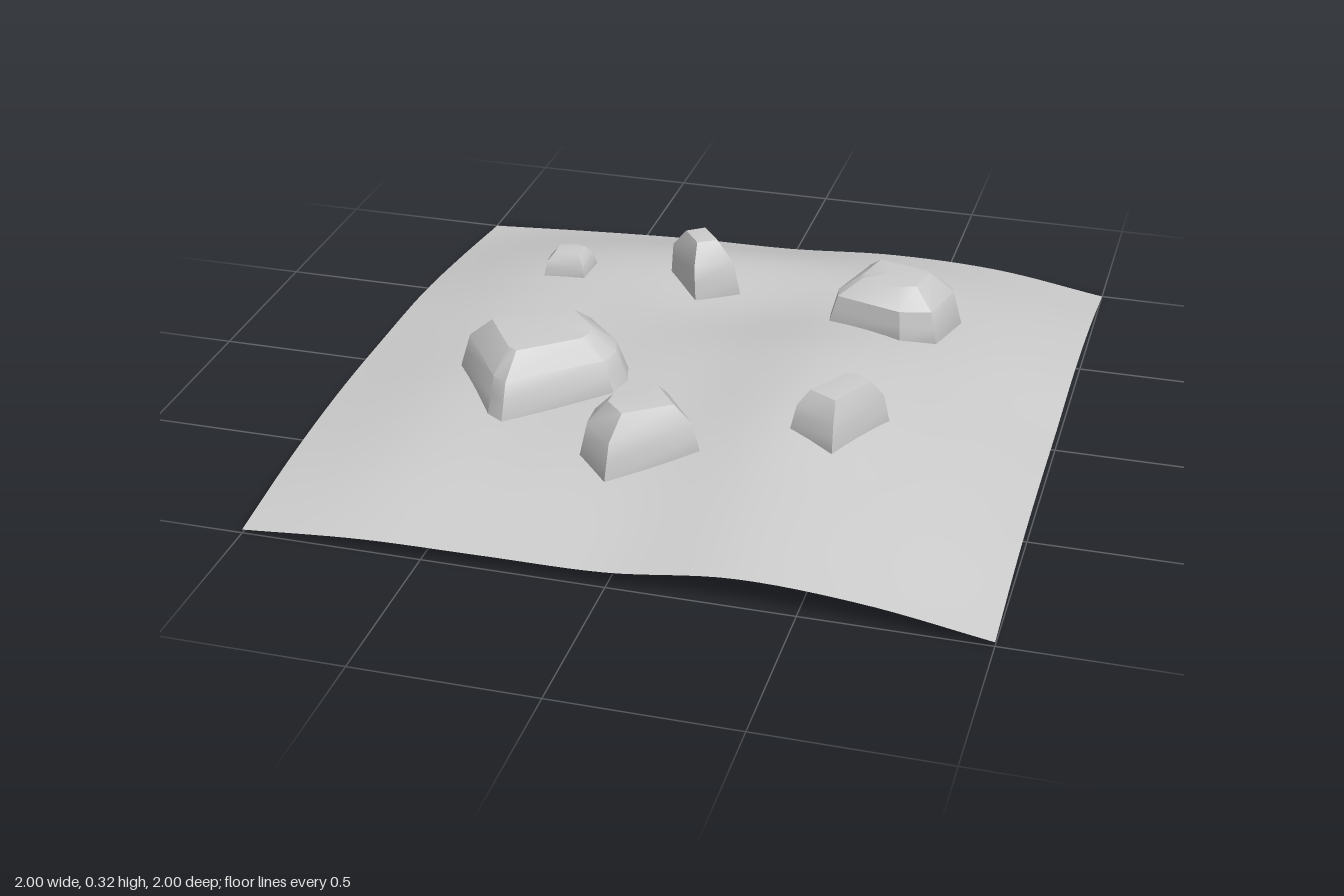
import * as THREE from 'three';
import { toCreasedNormals } from 'three/addons/utils/BufferGeometryUtils.js';

// Ground heights on a 7 x 7 net: rows run back to front, columns left to right
const HEIGHTS = [
  [0.00, 0.02, 0.035, 0.04, 0.06, 0.05, 0.00],
  [0.04, 0.105, 0.14, 0.15, 0.145, 0.11, 0.045],
  [0.07, 0.13, 0.145, 0.145, 0.17, 0.14, 0.065],
  [0.075, 0.13, 0.15, 0.18, 0.212, 0.155, 0.06],
  [0.072, 0.13, 0.14, 0.165, 0.21, 0.155, 0.062],
  [0.05, 0.10, 0.11, 0.12, 0.155, 0.125, 0.05],
  [0.01, 0.035, 0.04, 0.045, 0.083, 0.065, 0.012],
];

// Smooth curve through evenly spaced values, t from -1 to 1
function spline(v, t) {
  const n = v.length - 1;
  const u = THREE.MathUtils.clamp((t + 1) / 2 * n, 0, n);
  const i = Math.min(Math.floor(u), n - 1);
  const f = u - i;
  const b = v[i], c = v[i + 1];
  const a = i > 0 ? v[i - 1] : 2 * b - c;
  const d = i < n - 1 ? v[i + 2] : 2 * c - b;
  return b + 0.5 * f * (c - a + f * (2 * a - 5 * b + 4 * c - d + f * (3 * (b - c) + d - a)));
}

const groundAt = (x, z) => spline(HEIGHTS.map((row) => spline(row, x)), z);

function buildGround(material) {
  const geo = new THREE.PlaneGeometry(2, 2, 40, 40).rotateX(-Math.PI / 2);
  const p = geo.attributes.position;
  for (let i = 0; i < p.count; i++) p.setY(i, groundAt(p.getX(i), p.getZ(i)));
  geo.computeVertexNormals();
  const mesh = new THREE.Mesh(geo, material);
  mesh.name = 'ground';
  return mesh;
}

// Open-bottomed boulder: the outline runs left, front, right, back and shrinks to the crown
function buildRock({ name, outline, top, crown, shoulder = 0.87, shift = [0, 0] }, material) {
  const n = outline.length;
  const xs = outline.map((p) => p[0]), zs = outline.map((p) => p[1]);
  const cx = (Math.min(...xs) + Math.max(...xs)) / 2;
  const cz = (Math.min(...zs) + Math.max(...zs)) / 2;
  // [scale, height fraction, drop below ground]
  const rings = [[0.95, 0, 0.025], [1, 0, 0], [(1 + shoulder) / 2, 0.3, 0], [shoulder, 0.6, 0], [crown, 0.96, 0]];
  const pos = [], index = [];
  for (const [s, h, drop] of rings) {
    for (const [x, z] of outline) {
      const base = groundAt(x, z);
      pos.push(
        cx + (x - cx) * s + shift[0] * h,
        base + (top - base) * h - drop,
        cz + (z - cz) * s + shift[1] * h
      );
    }
  }
  pos.push(cx + shift[0], top, cz + shift[1]);
  const apex = rings.length * n;
  for (let i = 0; i < n; i++) {
    const j = (i + 1) % n;
    for (let r = 0; r < rings.length - 1; r++) {
      const a = r * n + i, b = r * n + j;
      index.push(a, b, b + n, a, b + n, a + n);
    }
    index.push(apex - n + i, apex - n + j, apex);
  }
  const geo = new THREE.BufferGeometry();
  geo.setAttribute('position', new THREE.Float32BufferAttribute(pos, 3));
  geo.setIndex(index);
  const mesh = new THREE.Mesh(toCreasedNormals(geo, 0.6), material);
  mesh.name = name;
  return mesh;
}

const ROCKS = [
  { name: 'largeRock', top: 0.305, crown: 0.58,
    outline: [[-0.68, 0.19], [-0.51, 0.44], [-0.46, 0.47], [-0.2, 0.27], [-0.18, 0.2], [-0.2, 0.13], [-0.33, -0.01], [-0.39, -0.03]] },
  { name: 'frontRock', top: 0.29, crown: 0.54,
    outline: [[-0.2, 0.5], [-0.2, 0.58], [-0.1, 0.68], [0.12, 0.53], [-0.01, 0.36], [-0.04, 0.35]] },
  { name: 'rightFrontRock', top: 0.317, crown: 0.6,
    outline: [[0.34, 0.42], [0.47, 0.49], [0.58, 0.27], [0.52, 0.23], [0.46, 0.23]] },
  { name: 'rightBackRock', top: 0.315, crown: 0.5, shift: [0, 0.02],
    outline: [[0.28, -0.33], [0.29, -0.27], [0.51, -0.21], [0.61, -0.25], [0.65, -0.44], [0.64, -0.47], [0.34, -0.55]] },
  { name: 'middleBackRock', top: 0.315, crown: 0.45, shift: [-0.01, 0.01],
    outline: [[-0.26, -0.52], [-0.14, -0.36], [-0.02, -0.43], [-0.15, -0.6]] },
  { name: 'smallBackRock', top: 0.205, crown: 0.55,
    outline: [[-0.645, -0.49], [-0.64, -0.43], [-0.51, -0.425], [-0.505, -0.54], [-0.57, -0.55], [-0.64, -0.53]] },
];

export function createModel() {
  const group = new THREE.Group();
  group.name = 'rockyGround';
  const material = new THREE.MeshStandardMaterial({ color: 0xcccccc, side: THREE.DoubleSide });
  group.add(buildGround(material));
  for (const rock of ROCKS) group.add(buildRock(rock, material));
  return group;
}
